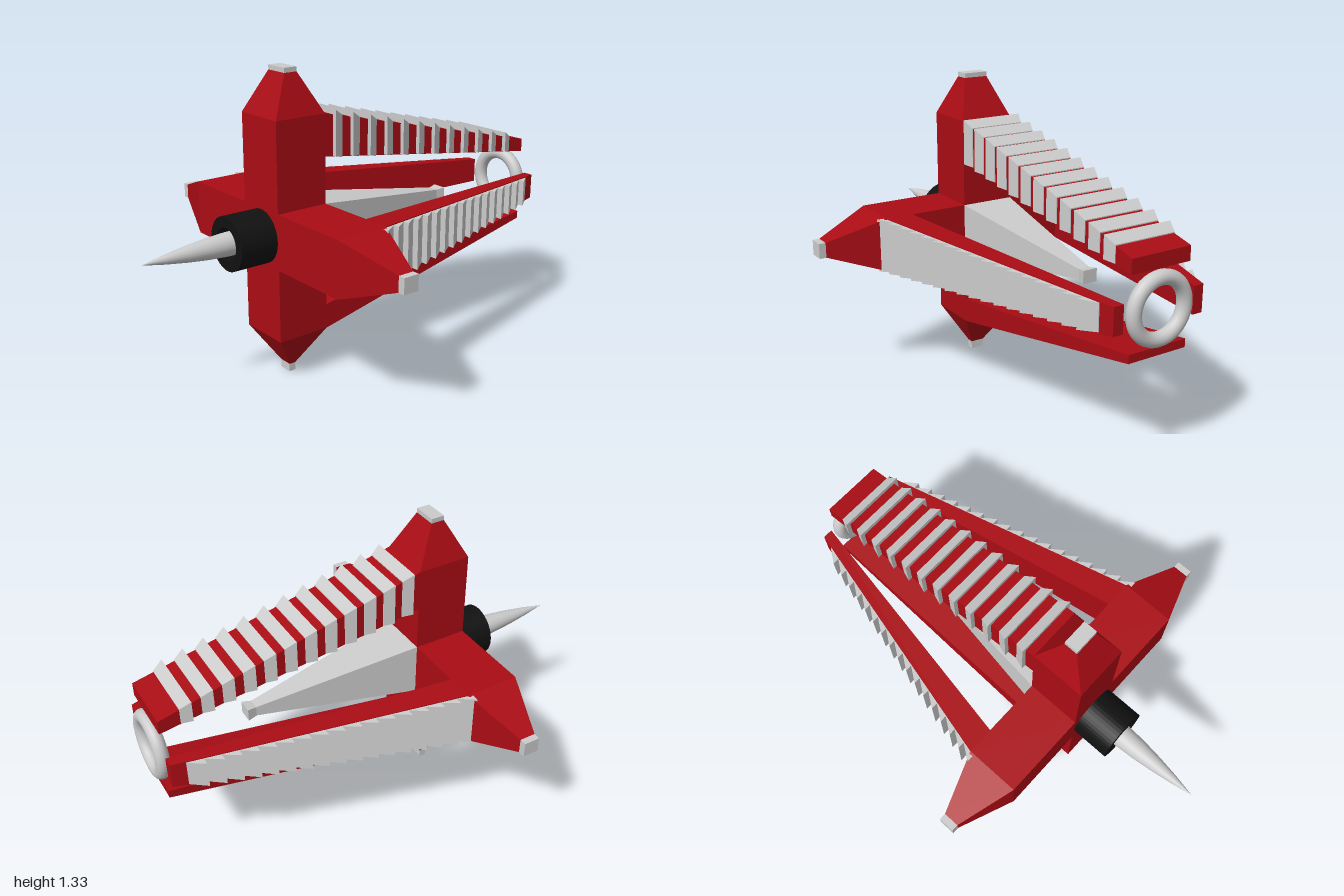
import * as THREE from 'three';

const mat = (color, extra = {}) => new THREE.MeshStandardMaterial({ color, ...extra });
const CY = 0.64, CZ = 0.33, H = 0.12; // hub centre and half thickness
const FRONT = 0.21, BACK = -0.97;     // ends of the rear struts
const lerp = THREE.MathUtils.lerp;

// Tapered block: rectangle a = [x0, x1, y0, y1] at z = za, rectangle b at z = zb (za > zb)
function loft(a, za, b, zb) {
  const geo = new THREE.BoxGeometry(1, 1, 1);
  const p = geo.attributes.position;
  for (let i = 0; i < p.count; i++) {
    const front = p.getZ(i) > 0, r = front ? a : b;
    p.setXYZ(i, p.getX(i) > 0 ? r[1] : r[0], p.getY(i) > 0 ? r[3] : r[2], front ? za : zb);
  }
  geo.computeVertexNormals();
  return geo;
}
const rect = (hx, hy, cy = 0) => [-hx, hx, cy - hy, cy + hy];

export function createModel() {
  const model = new THREE.Group();
  const red = mat(0xaa0c14), grey = mat(0xcccccc), black = mat(0x111111);
  const add = (name, geo, material, parent = model) => {
    const m = new THREE.Mesh(geo, material);
    m.name = name;
    parent.add(m);
    return m;
  };

  // Cross-shaped body: four arms with tapered ends and small caps
  const body = new THREE.Group();
  body.name = 'crossBody';
  body.position.set(0, CY, CZ);
  model.add(body);
  add('hub', new THREE.BoxGeometry(2 * H, 2 * H, 2 * H), red, body);
  const arms = [
    ['leftArm', 0.5, 0.75, 0.78, 0.035, 0.033, g => g.rotateY(Math.PI / 2)],
    ['rightArm', 0.5, 0.75, 0.78, 0.035, 0.033, g => g.rotateY(-Math.PI / 2)],
    ['topArm', 0.5, 0.67, 0.69, 0.055, 0.03, g => g.rotateX(-Math.PI / 2)],
    ['bottomArm', 0.44, 0.605, 0.64, 0.031, 0.015, g => g.rotateX(Math.PI / 2)],
  ];
  for (const [name, straight, taper, end, hx, hy, turn] of arms) {
    const full = rect(H, H), tip = rect(hx, hy);
    add(name, turn(loft(full, straight, full, H)), red, body);
    add(name + 'Taper', turn(loft(tip, taper, full, straight)), red, body);
    add(name + 'Cap', turn(loft(tip, end, tip, taper)), grey, body);
  }

  // Black collar, an open-fronted tube
  const collarShape = new THREE.Shape().absarc(0, 0, 0.115, 0, Math.PI * 2);
  collarShape.holes.push(new THREE.Path().absarc(0, 0, 0.07, 0, Math.PI * 2, true));
  const collar = add('noseCollar',
    new THREE.ExtrudeGeometry(collarShape, { depth: 0.17, bevelEnabled: false, curveSegments: 24 }), black);
  collar.position.set(0, CY, 0.45);

  // Pointed nose
  const nose = [[0.052, 0.44], [0.05, 0.62], [0.044, 0.71], [0.034, 0.8], [0.019, 0.9], [0, 1]]
    .map(([r, z]) => new THREE.Vector2(r, z));
  const spike = add('noseSpike', new THREE.LatheGeometry(nose, 24).rotateX(Math.PI / 2), grey);
  spike.position.y = CY;

  // Upper and lower struts running back to the ring
  add('upperStrut', loft([-H, H, 0.96, 1.14], FRONT, [-0.137, 0.137, 0.8, 0.86], BACK), red);
  add('lowerStrut', loft([-H, H, 0.2, 0.31], FRONT, [-0.135, 0.135, 0.46, 0.495], BACK), red);

  // Wedge ribs wrapped over the upper strut
  const upperRect = (z, out, up) => {
    const t = (FRONT - z) / (FRONT - BACK), hx = lerp(H, 0.137, t) + out;
    return [-hx, hx, lerp(0.963, 0.803, t), lerp(1.14, 0.86, t) + up];
  };
  for (let i = 0; i < 12; i++) {
    const z = 0.17 - i * 0.0912, z2 = z - 0.046;
    add('upperRib', loft(upperRect(z, 0.02, 0.022), z, upperRect(z2, 0.003, 0.004), z2), grey);
  }

  // Side struts with a saw-toothed row of plates on the outside
  const sideRect = (s, z, out) => {
    const t = (FRONT - z) / (FRONT - BACK);
    const x = lerp(0.5, 0.21, t), hy = lerp(H, 0.057, t) - 0.004;
    const a = s * (x - 0.02), b = s * (x + out);
    return [Math.min(a, b), Math.max(a, b), CY - hy, CY + hy];
  };
  for (const s of [1, -1]) {
    const side = s > 0 ? 'left' : 'right';
    const f = [0.38 * s, 0.5 * s].sort((a, b) => a - b);
    const r = [0.165 * s, 0.21 * s].sort((a, b) => a - b);
    add(side + 'Strut', loft([...f, CY - H, CY + H], FRONT, [...r, CY - 0.057, CY + 0.057], BACK), red);
    for (let i = 0; i < 17; i++) {
      const z = 0.23 - i * 0.067, z2 = z - 0.067;
      add(side + 'Plate', loft(sideRect(s, z, 0.033), z, sideRect(s, z2, 0.003), z2), grey);
    }
  }

  // Inner tail spike with a small end block
  add('tailSpike', loft(rect(H, H, CY), FRONT, rect(0.025, 0.022, CY), -0.52), grey);
  add('tailSpikeTip', loft(rect(0.025, 0.022, CY), -0.52, rect(0.033, 0.028, CY), -0.56), grey);

  // Rear ring
  const ring = add('rearRing', new THREE.TorusGeometry(0.12, 0.03, 16, 40), grey);
  ring.position.set(0, 0.645, -0.97);

  return model;
}
